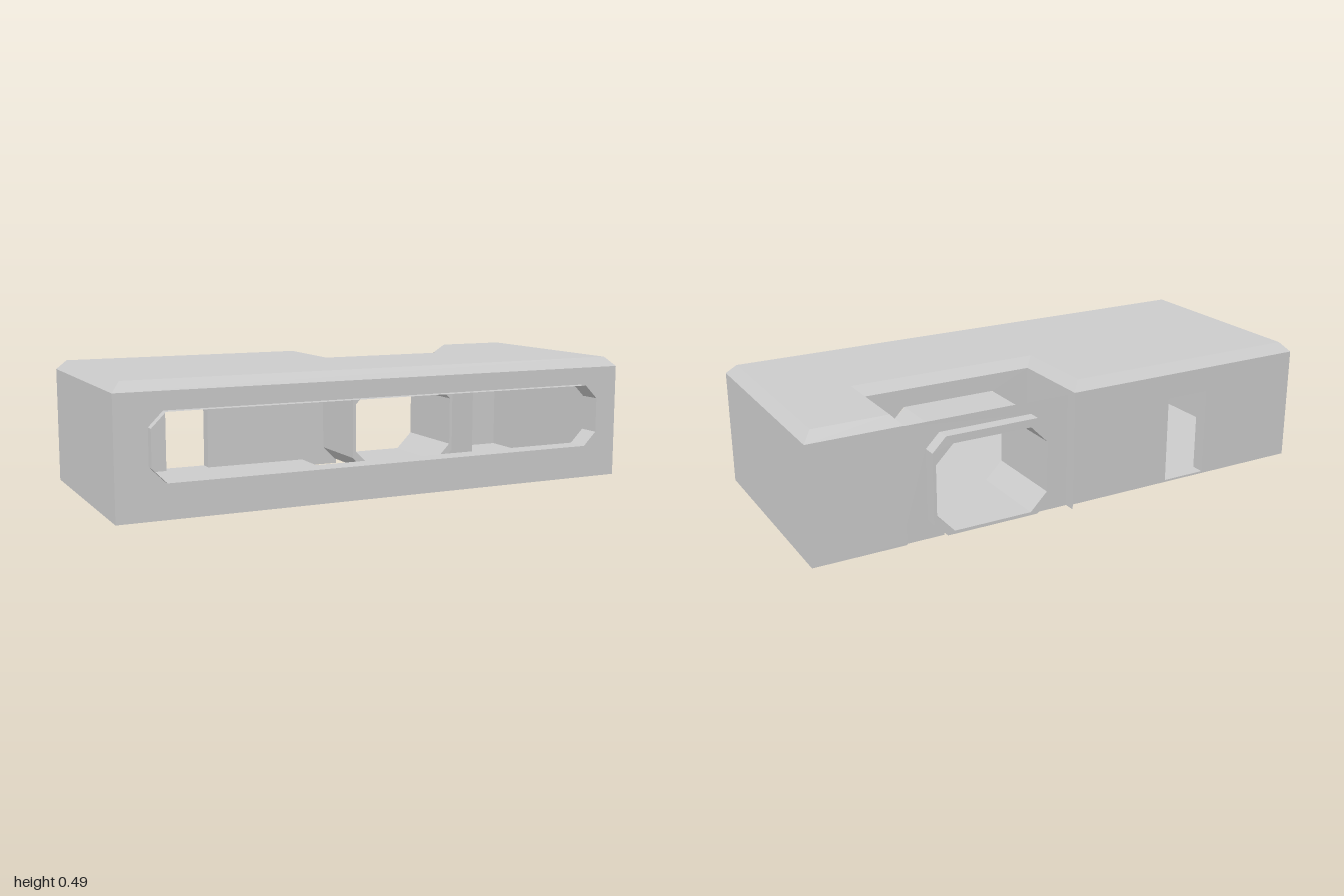
import * as THREE from 'three';

const grey = new THREE.MeshStandardMaterial({ color: 0xcccccc, flatShading: true });
const thin = new THREE.MeshStandardMaterial({ color: 0xcccccc, flatShading: true, side: THREE.DoubleSide });

const X0 = 0, X1 = 0.66, CX = 0.33;        // recess sides and middle
const BACK = -0.43, FRONT = 0.4, RECESS = -0.1;
const FLOOR = 0.02, CEIL = 0.43, EAVE = 0.45, TOP = 0.485, WALL = 0.05;

const shapeOf = (pts) => new THREE.Shape(pts.map(([x, y]) => new THREE.Vector2(x, y)));
const rect = (x0, x1, y0, y1) => [[x0, y0], [x1, y0], [x1, y1], [x0, y1]];

// Rectangle with cut corners, counter-clockwise
const octagon = (x0, x1, y0, y1, c) => [
  [x0 + c, y0], [x1 - c, y0], [x1, y0 + c], [x1, y1 - c],
  [x1 - c, y1], [x0 + c, y1], [x0, y1 - c], [x0, y0 + c],
];

// Upright panel from z0 to z1, with optional openings
function panel(outline, holes, z0, z1) {
  const s = shapeOf(outline);
  s.holes = holes.map((h) => new THREE.Path(shapeOf(h).getPoints()));
  return new THREE.ExtrudeGeometry(s, { depth: z1 - z0, bevelEnabled: false }).translate(0, 0, z0);
}

// Flat slab from a plan outline given as [x, z]
function slab(plan, y0, y1) {
  const s = shapeOf(plan.map(([x, z]) => [x, -z]));
  return new THREE.ExtrudeGeometry(s, { depth: y1 - y0, bevelEnabled: false })
    .rotateX(-Math.PI / 2).translate(0, y0, 0);
}

// Strip of quads joining two closed loops of 3D points
function strip(a, b) {
  const pos = [];
  a.forEach((p, i) => {
    const j = (i + 1) % a.length;
    pos.push(...p, ...a[j], ...b[j], ...p, ...b[j], ...b[i]);
  });
  const g = new THREE.BufferGeometry();
  g.setAttribute('position', new THREE.Float32BufferAttribute(pos, 3));
  g.computeVertexNormals();
  return g;
}

export function createModel() {
  const model = new THREE.Group();
  const add = (name, geometry, material = grey) => {
    const mesh = new THREE.Mesh(geometry, material);
    mesh.name = name;
    model.add(mesh);
  };

  // Roof: U-shaped slab with a chamfered edge all round
  const plan = [[-1, FRONT], [1, FRONT], [1, BACK], [X1, BACK], [X1, RECESS],
    [X0, RECESS], [X0, BACK], [-1, BACK]];
  const c = 0.033;
  const crown = [[-1 + c, FRONT - c], [1 - c, FRONT - c], [1 - c, BACK + c], [X1 + c, BACK + c],
    [X1 + c, RECESS + c], [X0 - c, RECESS + c], [X0 - c, BACK + c], [-1 + c, BACK + c]];
  add('roofSlab', slab(plan, CEIL, EAVE));
  add('roofChamfer', strip(plan.map(([x, z]) => [x, EAVE, z]), crown.map(([x, z]) => [x, TOP, z])));
  add('roofTop', new THREE.ShapeGeometry(shapeOf(crown.map(([x, z]) => [x, -z])))
    .rotateX(-Math.PI / 2).translate(0, TOP, 0));

  // Floor with two slots open beside the tunnel
  add('floor', slab([[-1, FRONT], [1, FRONT], [1, BACK], [X1, BACK], [X1, RECESS], [0.5, RECESS],
    [0.5, BACK], [0.16, BACK], [0.16, RECESS], [X0, RECESS], [X0, BACK], [-1, BACK]],
  FLOOR, FLOOR + 0.008));

  // Front wall with the long window and its projecting rim
  const slot = octagon(-0.885, 0.885, 0.15, 0.385, 0.052);
  add('frontWall', panel(rect(-1, 1, FLOOR, CEIL), [slot], FRONT - WALL, FRONT));
  add('windowRim', strip(slot.map(([x, y]) => [x, y, FRONT + 0.033]),
    slot.map(([x, y]) => [x, y, FRONT])), thin);

  // End walls
  for (const side of [-1, 1]) {
    const h = CEIL - FLOOR, d = FRONT - BACK;
    add(side > 0 ? 'leftWall' : 'rightWall', new THREE.BoxGeometry(WALL, h, d)
      .translate(side * (1 - WALL / 2), FLOOR + h / 2, (FRONT + BACK) / 2));
  }

  // Back walls on both sides of the recess, one with a doorway
  add('doorWall', panel([[-1, FLOOR], [-0.59, FLOOR], [-0.59, 0.355], [-0.415, 0.355],
    [-0.415, FLOOR], [X0, FLOOR], [X0, CEIL], [-1, CEIL]], [], BACK, BACK + WALL));
  add('backWall', panel(rect(X1, 1, FLOOR, CEIL), [], BACK, BACK + WALL));

  // Recess sides, facing into the recess
  const depth = RECESS - BACK;
  for (const [x, turn] of [[X0, 1], [X1, -1]]) {
    add('recessSide', new THREE.PlaneGeometry(depth, EAVE).rotateY(turn * Math.PI / 2)
      .translate(x, EAVE / 2, (RECESS + BACK) / 2));
  }

  // Panels around the tunnel: outline centred on the tunnel axis
  const half = [[0.17, 0], [0.17, FLOOR], [0.23, 0.08], [0.23, 0.335], [0.18, 0.385]];
  const around = (top) => shapeOf([
    ...half.map(([x, y]) => [-x, y]), ...half.slice().reverse(),
    [0.33, 0], [0.33, top], [-0.33, top], [-0.33, 0],
  ]);
  add('recessBack', new THREE.ShapeGeometry(around(EAVE)).rotateY(Math.PI).translate(CX, 0, RECESS));
  add('tunnelScreen', new THREE.ShapeGeometry(around(CEIL)).translate(CX, 0, -0.385), thin);

  // Tunnel from the back into the room
  add('tunnel', panel(octagon(0.1, 0.56, FLOOR, 0.385, 0.052),
    [octagon(0.113, 0.548, FLOOR + 0.012, 0.355, 0.066)], BACK - 0.003, RECESS));

  return model;
}
